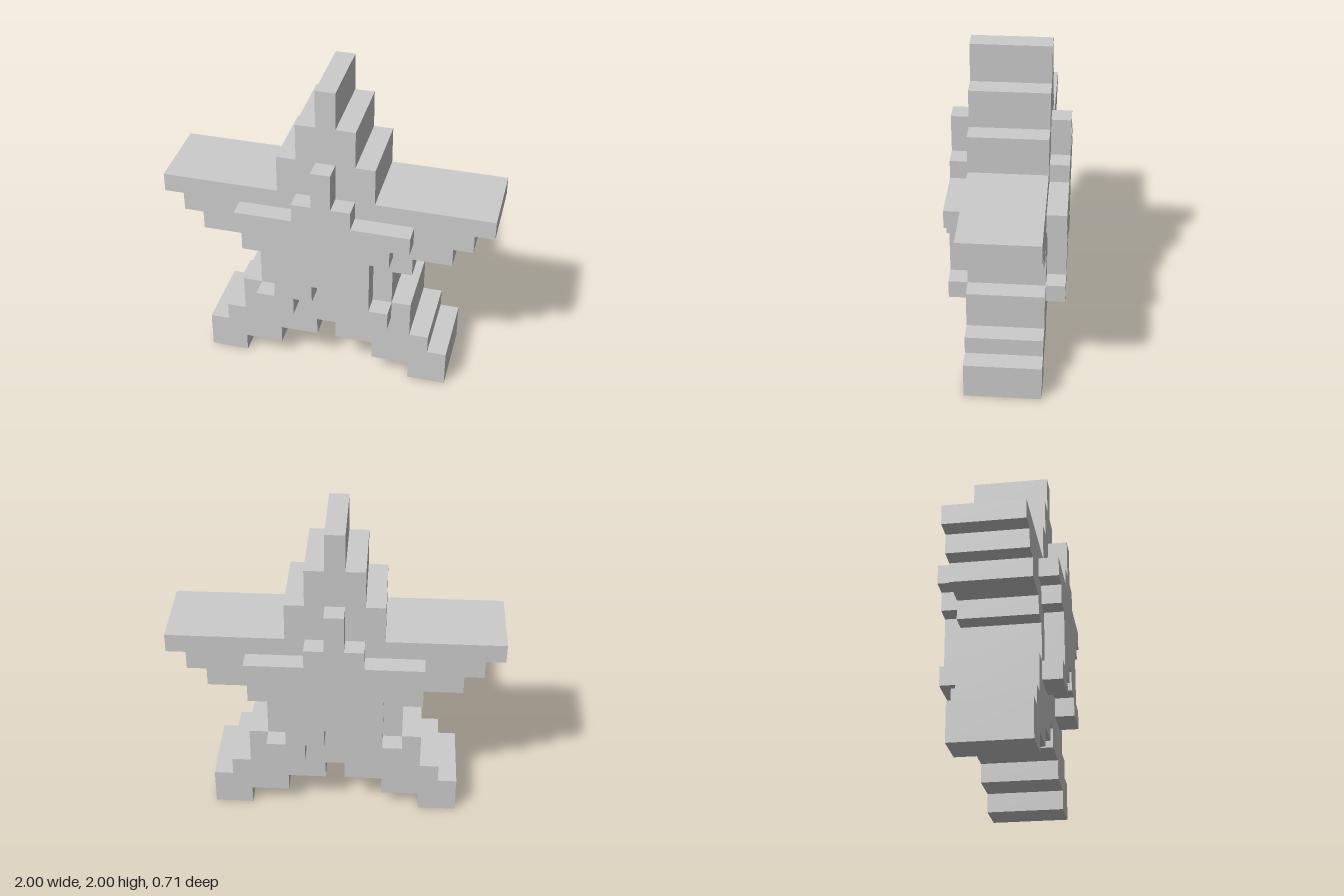
import * as THREE from 'three';

// One grid step: the star is 17 steps wide and 17 steps tall
const U = 2 / 17;

// Right half of each stepped outline, from the top tip down to the crotch, in grid steps
const BODY = [
  [0.5, 17], [0.5, 15], [1.5, 15], [1.5, 13], [2.5, 13], [2.5, 11], [8.5, 11],
  [8.5, 10], [7.5, 10], [7.5, 9], [6.5, 9], [6.5, 8], [4.5, 8], [4.5, 7], [3.5, 7],
  [3.5, 5], [4.5, 5], [4.5, 3], [5.5, 3], [5.5, 2], [6.5, 2], [6.5, 0],
  [4.5, 0], [4.5, 1], [2.5, 1], [2.5, 2], [0.5, 2], [0.5, 3],
];
const RAISED = [
  [0.5, 13], [0.5, 11], [1.5, 11], [1.5, 10], [4.5, 10], [4.5, 9], [3.5, 9], [3.5, 8],
  [2.5, 8], [2.5, 5], [3.5, 5], [3.5, 4], [1.5, 4], [1.5, 5], [0.5, 5], [0.5, 6],
];

const material = new THREE.MeshStandardMaterial({ color: 0xcccccc, flatShading: true });

// Mirror a half outline across x = 0 and extrude it between two depths
function starSlab(name, half, zBack, zFront) {
  const mirrored = half.map(([x, y]) => [-x, y]).reverse();
  const points = [...half, ...mirrored].map(([x, y]) => new THREE.Vector2(x * U, y * U));
  const geometry = new THREE.ExtrudeGeometry(new THREE.Shape(points), {
    depth: (zFront - zBack) * U,
    bevelEnabled: false,
  });
  geometry.translate(0, 0, zBack * U);
  const mesh = new THREE.Mesh(geometry, material);
  mesh.name = name;
  return mesh;
}

export function createModel() {
  const group = new THREE.Group();
  group.name = 'steppedStar';
  group.add(
    starSlab('starBody', BODY, -2, 2),
    starSlab('frontRaisedStar', RAISED, 2, 3),
    starSlab('backRaisedStar', RAISED, -3, -2),
  );
  return group;
}
